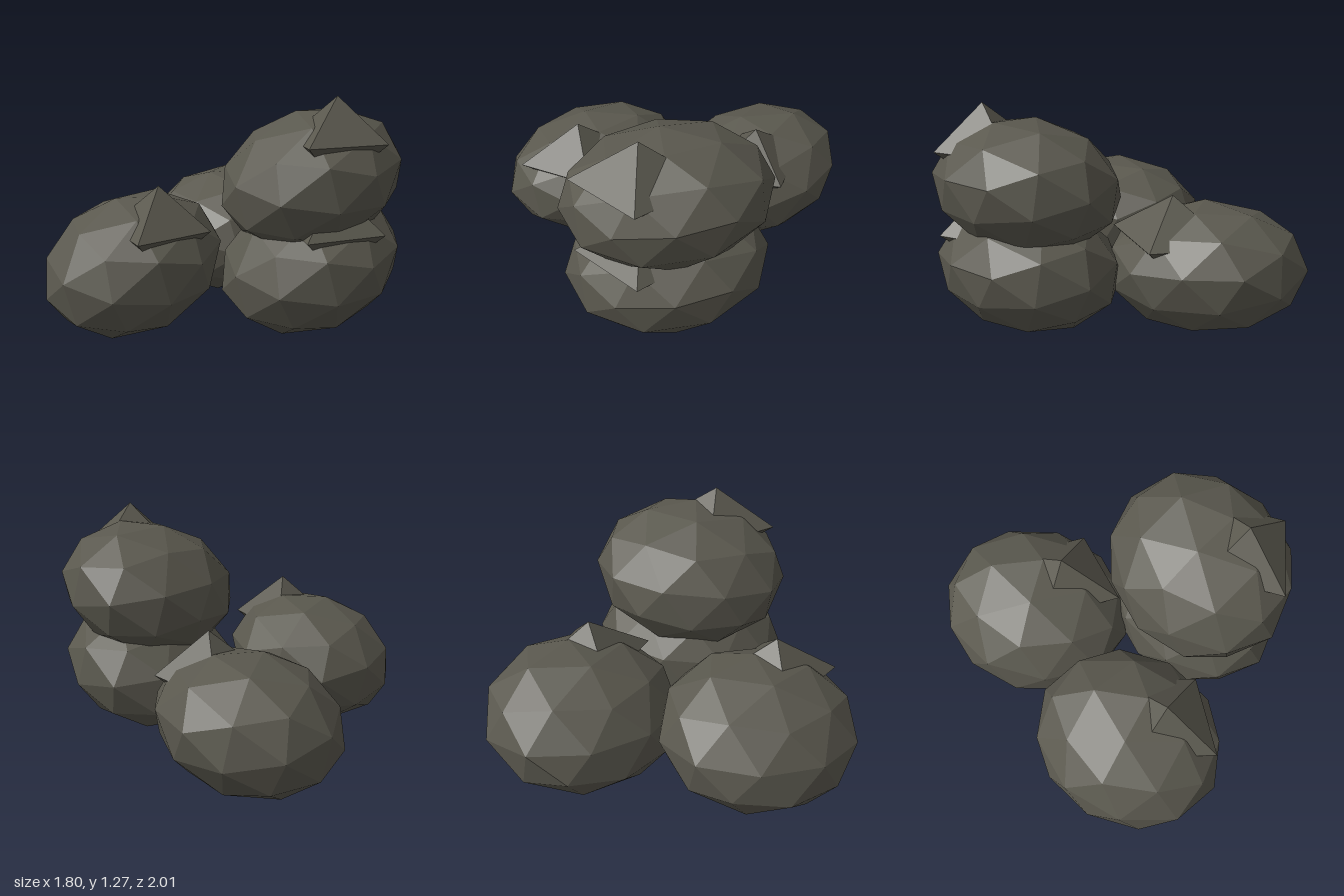
import * as THREE from 'three';

const burlap = new THREE.MeshStandardMaterial({ color: 0x5a584e, flatShading: true });
burlap.name = 'dark burlap';

// Faceted sack body: icosphere mapped onto three slanted half-axes of a lying bag
function sackBodyGeometry() {
  const geo = new THREE.IcosahedronGeometry(1, 1);
  const across = new THREE.Vector3(0.47, 0.12, -0.065);
  const up = new THREE.Vector3(-0.08, 0.352, 0.04);
  const along = new THREE.Vector3(0.08, -0.055, 0.55);
  geo.applyMatrix4(new THREE.Matrix4().makeBasis(across, up, along));
  geo.computeVertexNormals();
  return geo;
}

// Gathered corner of the sack: stretched octahedron sunk into the body
function sackKnotGeometry() {
  const geo = new THREE.OctahedronGeometry(1, 0);
  geo.scale(0.275, 0.23, 0.345);
  geo.translate(0.185, 0.215, 0.12);
  geo.computeVertexNormals();
  return geo;
}

export function createModel() {
  const model = new THREE.Group();
  model.name = 'sackPile';
  const bodyGeo = sackBodyGeometry();
  const knotGeo = sackKnotGeometry();

  // name, centre x, y, z, turn about y
  const sacks = [
    ['lowerLeftSack', 0.43, 0.365, -0.008, 0],
    ['upperLeftSack', 0.43, 0.825, -0.008, 0],
    ['frontRightSack', -0.4, 0.365, 0.475, 0.3],
    ['backRightSack', -0.4, 0.365, -0.49, 0.56],
  ];
  for (const [name, x, y, z, turn] of sacks) {
    const sack = new THREE.Group();
    sack.name = name;
    const body = new THREE.Mesh(bodyGeo, burlap);
    body.name = 'sackBody';
    const knot = new THREE.Mesh(knotGeo, burlap);
    knot.name = 'sackKnot';
    sack.add(body, knot);
    sack.position.set(x, y, z);
    sack.rotation.y = turn;
    model.add(sack);
  }
  return model;
}
